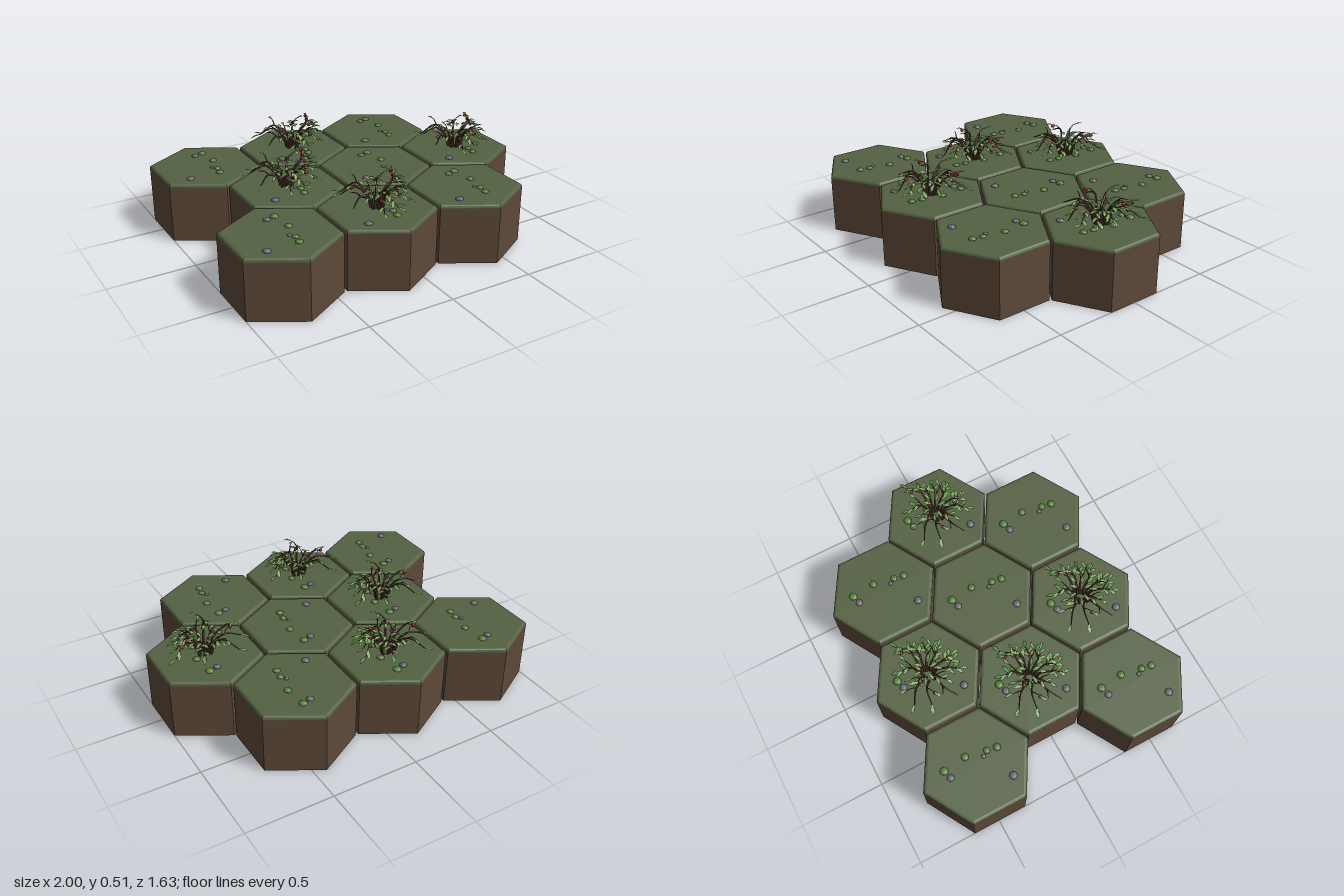
import * as THREE from 'three';
import { mergeGeometries } from 'three/addons/utils/BufferGeometryUtils.js';

const mat = (name, color, extra = {}) =>
  new THREE.MeshStandardMaterial({ name, color, flatShading: true, ...extra });

const R = 0.323, TOP = 0.353;

function rng(seed) {
  return () => (seed = (seed * 16807) % 2147483647) / 2147483647;
}

// Tube that narrows towards its tip
function taperedTube(curve, r0, r1, steps = 10, sides = 5) {
  const g = new THREE.TubeGeometry(curve, steps, r0, sides, false);
  const p = g.attributes.position, v = new THREE.Vector3();
  for (let i = 0; i <= steps; i++) {
    const c = curve.getPointAt(i / steps);
    const k = THREE.MathUtils.lerp(1, r1 / r0, i / steps);
    for (let j = 0; j <= sides; j++) {
      const n = i * (sides + 1) + j;
      v.fromBufferAttribute(p, n).sub(c).multiplyScalar(k).add(c);
      p.setXYZ(n, v.x, v.y, v.z);
    }
  }
  return g;
}

// Toothed leaf along +z, drooping towards its tip
function leafGeometry() {
  const half = [[0.003, 0], [0.009, 0.01], [0.007, 0.016], [0.013, 0.025], [0.008, 0.033], [0.008, 0.04]];
  const pts = [...half, [0, 0.054], ...half.map(([x, y]) => [-x, y]).reverse()];
  const g = new THREE.ShapeGeometry(new THREE.Shape(pts.map(([x, y]) => new THREE.Vector2(x, y))));
  g.rotateX(Math.PI / 2);
  g.scale(1, -1, 1);
  const p = g.attributes.position;
  for (let i = 0; i < p.count; i++) {
    p.setY(i, Math.abs(p.getX(i)) * 0.3 - p.getZ(i) ** 2 * 4);
  }
  return g;
}

// Branch tips: x, z, height of tip, number of leaves
const BRANCHES = [
  [-0.20, 0.085, 0.07, 0], [-0.19, -0.065, 0.09, 1], [-0.14, -0.15, 0.06, 1],
  [-0.06, 0.17, 0.04, 4], [0.06, -0.14, 0.08, 5], [0.20, -0.09, 0.08, 3],
  [0.15, 0.05, 0.09, 5], [0.11, 0.12, 0.06, 5], [0.03, 0.16, 0.05, 5],
  [0.17, -0.02, 0.09, 4], [-0.06, -0.09, 0.10, 4], [-0.10, 0.07, 0.10, 3],
];

function bushGeometries() {
  const rand = rng(4711);
  const bark = [], light = [], dark = [], berries = [];
  const leaf = leafGeometry();
  const o = new THREE.Object3D();
  const addLeaf = (pos, yaw, pitch, size) => {
    o.position.copy(pos);
    o.rotation.set(pitch, yaw, 0, 'YXZ');
    o.scale.setScalar(size);
    o.updateMatrix();
    (rand() < 0.7 ? light : dark).push(leaf.clone().applyMatrix4(o.matrix));
  };
  const addBerry = (pos) =>
    berries.push(new THREE.IcosahedronGeometry(0.011, 1).translate(pos.x, pos.y - 0.008, pos.z));

  BRANCHES.forEach(([x, z, tipY, leaves], n) => {
    const peak = 0.1 + rand() * 0.03;
    const curve = new THREE.CatmullRomCurve3([
      new THREE.Vector3(x * 0.17, -0.005, z * 0.17),
      new THREE.Vector3(x * 0.3, peak * 0.6, z * 0.3),
      new THREE.Vector3(x * 0.6 - z * 0.08, peak, z * 0.6 + x * 0.08),
      new THREE.Vector3(x, tipY, z),
    ]);
    bark.push(taperedTube(curve, 0.009, 0.003));
    const yaw = Math.atan2(x, z);

    // Side twig
    const from = curve.getPointAt(0.6);
    const side = yaw + (n % 2 ? 0.8 : -0.8);
    const end = from.clone().add(new THREE.Vector3(Math.sin(side) * 0.055, 0.025, Math.cos(side) * 0.055));
    const mid = from.clone().lerp(end, 0.5).add(new THREE.Vector3(0, 0.012, 0));
    bark.push(taperedTube(new THREE.CatmullRomCurve3([from, mid, end]), 0.004, 0.002, 4, 4));
    if (leaves) addLeaf(end, side, -0.1, 0.85);

    for (let i = 0; i < leaves; i++) {
      const t = 0.5 + 0.5 * (i + 1) / leaves;
      const turn = i === leaves - 1 ? 0 : (i % 2 ? 1 : -1) * (0.5 + rand() * 0.5);
      addLeaf(curve.getPointAt(t), yaw + turn, (rand() - 0.4) * 0.6, 0.8 + rand() * 0.3);
    }
    if (leaves > 1) addBerry(curve.getPointAt(0.72));
    if (n % 4 === 1) addBerry(end);
  });

  // Leaves at the crown
  for (let i = 0; i < 9; i++) {
    const a = i * 2.4, r = 0.02 + 0.005 * i;
    addLeaf(new THREE.Vector3(Math.sin(a) * r + 0.01, 0.085 + rand() * 0.04, Math.cos(a) * r), a, -0.2, 0.9);
  }
  return [bark, light, dark, berries].map((list) => mergeGeometries(list));
}

// Small stones and moss clumps on each tile: x, z, radius, isStone
const CLUMPS = [
  [0, -0.155, 0.021, true], [0.05, -0.17, 0.024, false], [0.065, -0.035, 0.022, false],
  [0.022, 0.057, 0.013, true], [0.042, 0.087, 0.02, false], [0.032, 0.145, 0.022, false],
  [-0.147, 0.15, 0.023, true],
];

export function createModel() {
  const soil = mat('soil', 0x5d4939);
  const grass = mat('grass', 0x546142);
  const stone = mat('stone', 0x696a70);
  const moss = mat('moss', 0x56803c);
  const bark = mat('bark', 0x4b3427);
  const leafLight = mat('leafLight', 0x82b066, { side: THREE.DoubleSide });
  const leafDark = mat('leafDark', 0x5f914c, { side: THREE.DoubleSide });
  const berry = mat('berry', 0xa3262c);

  // Shared geometry
  const soilGeo = new THREE.CylinderGeometry(R, R, 0.333, 6).translate(0, 0.1665, 0);
  const grassProfile = [[R, 0.33], [R, 0.338], [R - 0.004, 0.346], [R - 0.011, 0.351], [R - 0.02, TOP], [0, TOP]];
  const grassGeo = new THREE.LatheGeometry(grassProfile.map(([x, y]) => new THREE.Vector2(x, y)), 6);
  const clumpGeo = new THREE.IcosahedronGeometry(1, 1);
  const bushGeos = bushGeometries();
  const bushParts = [['branches', bark], ['lightLeaves', leafLight], ['darkLeaves', leafDark], ['berries', berry]];

  const model = new THREE.Group();
  model.name = 'hexTiles';

  const add = (parent, name, geo, material) => {
    const m = new THREE.Mesh(geo, material);
    m.name = name;
    parent.add(m);
    return m;
  };

  const addTile = (x, z, hasBush) => {
    const tile = new THREE.Group();
    tile.name = 'tile';
    tile.position.set(x, 0, z);
    add(tile, 'soilBlock', soilGeo, soil);
    add(tile, 'grassTop', grassGeo, grass);
    CLUMPS.forEach(([cx, cz, r, isStone], i) => {
      const c = add(tile, isStone ? 'pebble' : 'mossClump', clumpGeo, isStone ? stone : moss);
      c.position.set(cx, TOP, cz);
      c.scale.set(r, r * 0.6, r);
      c.rotation.y = i;
    });
    if (hasBush) {
      const bush = new THREE.Group();
      bush.name = 'berryBush';
      bush.position.y = TOP;
      bushParts.forEach(([name, material], i) => add(bush, name, bushGeos[i], material));
      tile.add(bush);
    }
    model.add(tile);
  };

  // Three staggered rows of three tiles
  for (const row of [-1, 0, 1]) {
    for (let col = 0; col < 3; col++) {
      const x = (row === 0 ? -0.432 : -0.72) + col * 0.576;
      addTile(x, row * 0.494, row === 0 ? col !== 1 : col === 1);
    }
  }
  return model;
}
